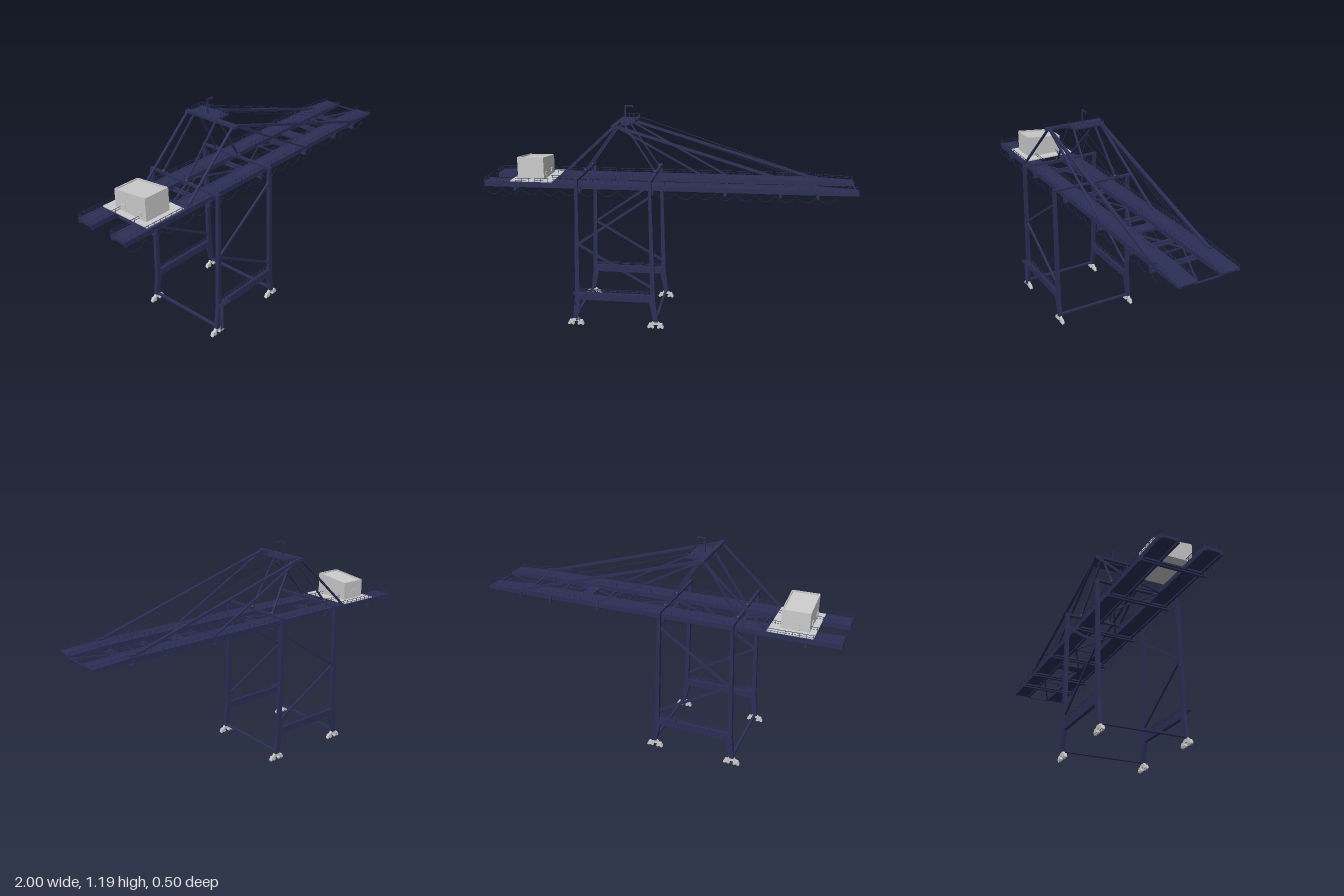
import * as THREE from 'three';
import { mergeGeometries } from 'three/addons/utils/BufferGeometryUtils.js';

const navy = new THREE.MeshStandardMaterial({ color: 0x2b2f55, side: THREE.DoubleSide });
const grey = new THREE.MeshStandardMaterial({ color: 0xcccccc, side: THREE.DoubleSide });
const V = (x, y, z) => new THREE.Vector3(x, y, z);
const MID = -0.015; // centre line of the crane in z
const GIRDERS = [-0.13, 0.1];
const LEG_Z = [-0.245, 0.215];
const PORTAL_X = [-0.47, -0.078];

const box = (x0, x1, y0, y1, z0, z1) =>
  new THREE.BoxGeometry(x1 - x0, y1 - y0, z1 - z0).translate((x0 + x1) / 2, (y0 + y1) / 2, (z0 + z1) / 2);

// Straight bar between two points: w across, h upright
function bar(a, b, w, h = w) {
  const dir = b.clone().sub(a);
  const up = Math.abs(dir.x) + Math.abs(dir.z) < 1e-6 ? V(1, 0, 0) : V(0, 1, 0);
  const m = new THREE.Matrix4().lookAt(b, a, up).setPosition(a.clone().add(b).multiplyScalar(0.5));
  return new THREE.BoxGeometry(w, h, dir.length()).applyMatrix4(m);
}

// Outline in x,y extruded along z around a centre
function plate(points, depth, z) {
  const shape = new THREE.Shape(points.map(p => new THREE.Vector2(p[0], p[1])));
  return new THREE.ExtrudeGeometry(shape, { depth, bevelEnabled: false }).translate(0, 0, z - depth / 2);
}

// Railing with posts, top rail and middle rail
function railing(a, b, h, step, t = 0.0018) {
  const n = Math.max(1, Math.round(a.distanceTo(b) / step));
  const lift = k => [a, b].map(p => p.clone().add(V(0, h * k, 0)));
  const out = [bar(...lift(1), t), bar(...lift(0.5), t * 0.7)];
  for (let i = 0; i <= n; i++) {
    const p = a.clone().lerp(b, i / n);
    out.push(bar(p, p.clone().add(V(0, h, 0)), t));
  }
  return out;
}

export function createModel() {
  const group = new THREE.Group();
  const add = (name, geos, mat = navy) => {
    const flat = geos.map(g => (g.index ? g.toNonIndexed() : g));
    const mesh = new THREE.Mesh(mergeGeometries(flat), mat);
    mesh.name = name;
    group.add(mesh);
  };

  // Portal: flared legs, sill beams, diagonal braces
  const leg = [[-0.512, 0.04], [-0.488, 0.04], [-0.463, 0.155], [-0.471, 0.2], [-0.462, 0.83], [-0.478, 0.83], [-0.497, 0.17]];
  const legs = [], sills = [], braces = [], sillRails = [];
  for (const z of LEG_Z) {
    legs.push(plate(leg, 0.02, z), plate(leg.map(([x, y]) => [-0.55 - x, y]).reverse(), 0.02, z));
    sills.push(box(-0.475, -0.075, 0.152, 0.192, z - 0.009, z + 0.009));
    braces.push(bar(V(-0.472, 0.47, z), V(-0.082, 0.74, z), 0.01, 0.012),
      bar(V(-0.472, 0.47, z), V(-0.062, 0.23, z), 0.01, 0.012));
    for (const s of [-0.009, 0.009])
      sillRails.push(...railing(V(-0.47, 0.19, z + s), V(-0.08, 0.19, z + s), 0.02, 0.024));
  }
  add('portalLegs', legs);
  add('sillBeams', sills);
  add('diagonalBraces', braces);
  add('sillRailings', sillRails);

  // Cross ties joining the legs at foot and head
  const ties = [];
  for (const x of [-0.5, -0.05]) ties.push(bar(V(x, 0.05, LEG_Z[0]), V(x, 0.05, LEG_Z[1]), 0.014, 0.011));
  for (const x of PORTAL_X) ties.push(bar(V(x, 0.823, LEG_Z[0] - 0.01), V(x, 0.823, LEG_Z[1] + 0.01), 0.016, 0.012));
  add('crossTies', ties);

  // Bogies: equaliser, two trucks and four wheels per corner
  const bogies = [];
  for (const z of LEG_Z) for (const x of [-0.498, -0.052]) {
    bogies.push(plate([[x - 0.03, 0.022], [x + 0.03, 0.022], [x + 0.014, 0.042], [x - 0.014, 0.042]], 0.014, z));
    for (const s of [-1, 1]) {
      const c = x + s * 0.027;
      bogies.push(plate([[c - 0.018, 0.008], [c + 0.018, 0.008], [c + 0.009, 0.028], [c - 0.009, 0.028]], 0.018, z));
      for (const d of [-0.011, 0.011])
        bogies.push(new THREE.CylinderGeometry(0.008, 0.008, 0.01, 12).rotateX(Math.PI / 2).translate(c + d, 0.008, z));
    }
  }
  add('bogies', bogies, grey);

  // Access ladder and landing on the front leg
  const ladder = [box(-0.5, -0.43, 0.19, 0.193, 0.222, 0.25), ...railing(V(-0.5, 0.193, 0.249), V(-0.43, 0.193, 0.249), 0.016, 0.014)];
  for (const x of [-0.492, -0.472]) ladder.push(bar(V(x, 0.03, 0.237), V(x, 0.205, 0.237), 0.002));
  for (let y = 0.035; y < 0.2; y += 0.01) ladder.push(box(-0.492, -0.472, y, y + 0.0015, 0.229, 0.237));
  add('accessLadder', ladder);

  // Twin girders: hollow decks tapering to the boom tip, with railings
  const decks = [], rails = [];
  const side = [[-1, 0.761], [0.8, 0.761], [1, 0.763], [1, 0.777], [0.8, 0.788], [-1, 0.788]];
  for (const z of GIRDERS) {
    for (const s of [-1, 1]) {
      decks.push(plate(side, 0.012, z + s * 0.044));
      const e = z + s * 0.048;
      rails.push(...railing(V(-1, 0.787, e), V(0.8, 0.787, e), 0.023, 0.035),
        ...railing(V(0.8, 0.787, e), V(1, 0.777, e), 0.018, 0.035));
    }
    decks.push(plate([[-1, 0.77], [1, 0.768], [1, 0.776], [0.8, 0.786], [-1, 0.786]], 0.08, z));
    rails.push(...railing(V(-1, 0.787, z - 0.048), V(-1, 0.787, z + 0.048), 0.023, 0.032));
  }
  add('girders', decks);
  add('girderRailings', rails);

  // Hanger frames wrapped under the girders
  const frames = [];
  for (const x of [-0.825, -0.47, -0.075, 0.31, 0.6, 0.79]) {
    frames.push(box(x - 0.007, x + 0.007, 0.743, 0.75, -0.187, 0.162), box(x - 0.007, x + 0.007, 0.757, 0.767, -0.187, 0.162));
    for (const z of [-0.184, 0.159]) frames.push(box(x - 0.007, x + 0.007, 0.743, 0.775, z - 0.004, z + 0.004));
  }
  add('hangerFrames', frames);

  // Horizontal lacing between the girders
  const lacing = [-0.58, 0.19, 0.7, 0.996].map(x => bar(V(x, 0.765, -0.08), V(x, 0.765, 0.05), 0.007));
  const nodes = [-0.62, -0.58, -0.32, -0.07, 0.19, 0.45, 0.7, 0.996].map((x, i) => V(x, 0.765, i % 2 ? 0.05 : -0.08));
  for (let i = 1; i < nodes.length; i++) lacing.push(bar(nodes[i - 1], nodes[i], 0.007));
  add('lacing', lacing);
  add('trolley', [box(0.405, 0.47, 0.757, 0.771, -0.085, 0.055)]);

  // Top beam, mast frame and stays
  add('topBeam', [box(-0.287, -0.262, 1.094, 1.108, -0.174, 0.166)]);
  const mast = [];
  PORTAL_X.forEach((x, i) => {
    for (const [low, high] of [[0.003, i ? 0.01 : 0.026], [-0.162, -0.122]]) {
      mast.push(bar(V(x, 0.83, low), V(i ? -0.25 : -0.27, 1.1, high), 0.009));
      mast.push(new THREE.SphereGeometry(0.011, 10, 8).translate(x, 0.833, low));
    }
  });
  add('mastFrame', mast);
  const stays = [];
  for (const z of [-0.163, 0.144]) {
    for (const [x, w] of [[-0.62, 0.009], [0.31, 0.009], [0.79, 0.013]])
      stays.push(bar(V(x < 0 ? -0.28 : -0.265, 1.1, z), V(x, 0.785, z), w + 0.003, w));
    stays.push(box(0.775, 0.805, 0.78, 0.796, z - 0.008, z + 0.008));
  }
  add('stays', stays);

  // Head platform with railing and service jib
  const head = [box(-0.275, -0.185, 1.1, 1.109, -0.15, 0.032), box(-0.27, -0.215, 1.088, 1.1, -0.13, 0.02)];
  for (const z of [-0.149, 0.031]) head.push(...railing(V(-0.262, 1.108, z), V(-0.186, 1.108, z), 0.02, 0.02));
  head.push(...railing(V(-0.186, 1.108, -0.149), V(-0.186, 1.108, 0.031), 0.02, 0.018));
  add('headPlatform', head);
  add('serviceJib', [bar(V(-0.25, 1.1, -0.05), V(-0.25, 1.188, -0.05), 0.007),
    bar(V(-0.253, 1.185, -0.05), V(-0.208, 1.185, -0.05), 0.006), bar(V(-0.211, 1.17, -0.05), V(-0.211, 1.185, -0.05), 0.003)]);

  // Hoist ropes from the head to the boom
  const ropes = [[0.03, 0.05], [-0.008, 0.004], [-0.12, -0.09], [-0.132, -0.105]]
    .map(([a, b]) => bar(V(-0.19, 1.118, a), V(0.8, 0.797, b), 0.0015));
  add('hoistRopes', ropes);

  // Festoon cable loops under the front girder
  const loops = [];
  for (let i = 0; i < 18; i++) {
    const x = -1 + i * 0.105;
    const curve = new THREE.QuadraticBezierCurve3(V(x, 0.755, 0.158), V(x + 0.0525, 0.69, 0.158), V(x + 0.105, 0.755, 0.158));
    loops.push(new THREE.TubeGeometry(curve, 12, 0.0012, 4));
  }
  add('festoonCable', loops);

  // Machinery house: sloped roof with raised rim, on a deck plate
  const wall = new THREE.Shape([[-0.117, 0.79], [0.097, 0.79], [0.097, 0.908], [-0.117, 0.886]].map(p => new THREE.Vector2(...p)));
  const house = [new THREE.ExtrudeGeometry(wall, { depth: 0.146, bevelEnabled: false }).rotateY(-Math.PI / 2).translate(-0.68, 0, 0)];
  const rim = [V(-0.823, 0.911, 0.094), V(-0.683, 0.911, 0.094), V(-0.683, 0.889, -0.114), V(-0.823, 0.889, -0.114)];
  rim.forEach((p, i) => house.push(bar(p, rim[(i + 1) % 4], 0.006, 0.009)));
  house.push(box(-0.775, -0.74, 0.79, 0.845, -0.12, -0.116));
  for (const z of [-0.07, 0.04]) for (const x of [-0.828, -0.678]) house.push(box(x - 0.002, x + 0.002, 0.81, 0.83, z, z + 0.025));
  add('machineryHouse', house, grey);
  add('houseDeck', [box(-0.858, -0.624, 0.787, 0.793, MID - 0.16, MID + 0.152)], grey);

  return group;
}
